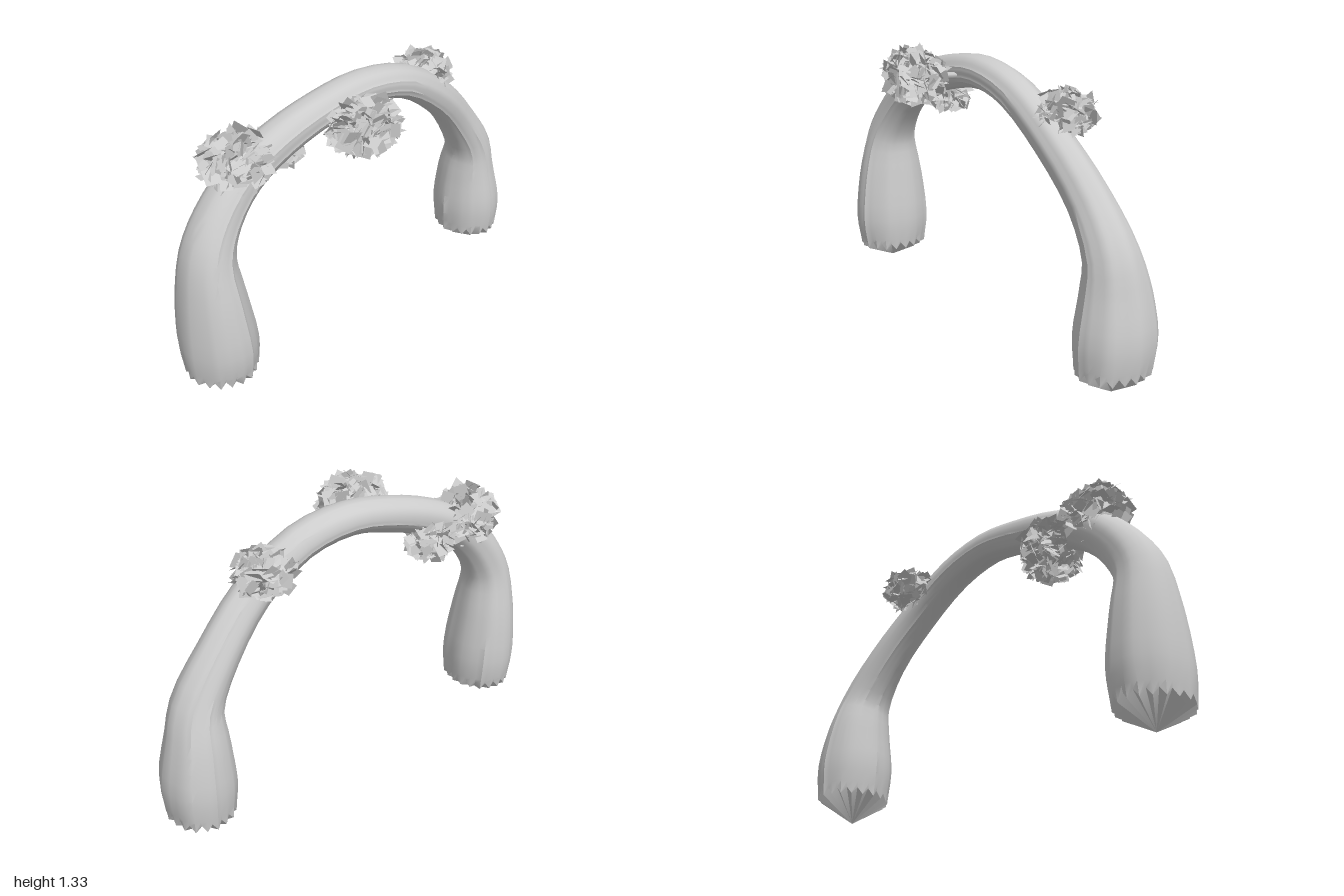
import * as THREE from 'three';
import { mergeGeometries, toCreasedNormals } from 'three/addons/utils/BufferGeometryUtils.js';

// Small seeded generator
function makeRandom(seed) {
  return () => {
    seed = (seed * 1664525 + 1013904223) % 4294967296;
    return seed / 4294967296;
  };
}

// Trunk stations: x, y, z, half width across x, half depth in the arch plane
const STATIONS = [
  [-0.01, 0.16, 0.83, 0.172, 0.155],
  [-0.01, 0.32, 0.83, 0.192, 0.165],
  [-0.015, 0.55, 0.835, 0.168, 0.142],
  [-0.02, 0.75, 0.825, 0.126, 0.112],
  [-0.03, 0.89, 0.755, 0.105, 0.1],
  [-0.04, 1.03, 0.62, 0.092, 0.092],
  [-0.045, 1.13, 0.43, 0.088, 0.086],
  [-0.05, 1.195, 0.2, 0.085, 0.08],
  [-0.055, 1.222, -0.02, 0.085, 0.074],
  [-0.06, 1.17, -0.26, 0.085, 0.076],
  [-0.08, 1.01, -0.5, 0.085, 0.082],
  [-0.12, 0.805, -0.69, 0.095, 0.09],
  [-0.14, 0.61, -0.81, 0.12, 0.108],
  [-0.155, 0.45, -0.83, 0.155, 0.135],
  [-0.155, 0.27, -0.84, 0.182, 0.16],
  [-0.155, 0.11, -0.84, 0.172, 0.147],
];
const TIPS = [[-0.01, 0.07, 0.83], [-0.155, 0, -0.84]];

// Softly ridged tube swept along the arch, closed by a scalloped cone at each foot
function trunkGeometry() {
  const sides = 40, steps = 45, rand = makeRandom(7);
  const path = new THREE.CatmullRomCurve3(STATIONS.map(s => new THREE.Vector3(s[0], s[1], s[2])));
  const size = new THREE.CatmullRomCurve3(STATIONS.map((s, i) => new THREE.Vector3(s[3], s[4], i * 0.1)));
  const groove = Array.from({ length: sides }, (_, j) => (j % 2 ? -0.03 : 0.012) * (0.3 + rand()));
  const positions = [], index = [];
  const xAxis = new THREE.Vector3(1, 0, 0);

  const addTip = tip => { for (let j = 0; j < sides; j++) positions.push(...tip); };
  addTip(TIPS[0]);
  for (let i = 0; i <= steps; i++) {
    const t = i / steps, c = path.getPoint(t), r = size.getPoint(t);
    const tangent = path.getTangent(t);
    const side = xAxis.clone().addScaledVector(tangent, -tangent.x).normalize();
    const up = new THREE.Vector3().crossVectors(tangent, side);
    const rim = i === 0 || i === steps;
    for (let j = 0; j < sides; j++) {
      const a = j / sides * Math.PI * 2;
      const k = 1 + groove[j] + 0.018 * Math.sin(3 * a + t * 9) + 0.014 * Math.sin(8 * a - t * 5);
      const p = c.clone().addScaledVector(side, Math.cos(a) * r.x * k).addScaledVector(up, Math.sin(a) * r.y * k);
      // Grooves rise and ridges drop around the rim of a foot
      if (rim) p.y += j % 2 ? 0.028 : -0.004;
      positions.push(p.x, p.y, p.z);
    }
  }
  addTip(TIPS[1]);

  const rings = steps + 3;
  for (let i = 0; i < rings - 1; i++) {
    for (let j = 0; j < sides; j++) {
      const n = (j + 1) % sides;
      const a = i * sides + j, b = i * sides + n, c = b + sides, d = a + sides;
      if (i > 0) index.push(a, b, c);
      if (i < rings - 2) index.push(a, c, d);
    }
  }
  const geometry = new THREE.BufferGeometry();
  geometry.setAttribute('position', new THREE.Float32BufferAttribute(positions, 3));
  geometry.setIndex(index);
  return toCreasedNormals(geometry, 0.75);
}

// Ball of randomly turned square leaves
function foliageGeometry(radii, count, seed) {
  const rand = makeRandom(seed), leaves = [];
  for (let i = 0; i < count; i++) {
    const h = rand() * 2 - 1, a = rand() * Math.PI * 2, s = Math.sqrt(1 - h * h);
    const reach = 0.35 + 0.65 * Math.sqrt(rand());
    const w = 0.045 + rand() * 0.022;
    const leaf = new THREE.PlaneGeometry(w, w);
    leaf.rotateX(rand() * 6.28).rotateY(rand() * 6.28).rotateZ(rand() * 6.28);
    leaf.translate(s * Math.cos(a) * reach * radii[0], h * reach * radii[1], s * Math.sin(a) * reach * radii[2]);
    leaves.push(leaf);
  }
  return mergeGeometries(leaves);
}

export function createModel() {
  const model = new THREE.Group();
  model.name = 'archedTrunk';
  const bark = new THREE.MeshStandardMaterial({ color: 0xcccccc });
  const leafMaterial = new THREE.MeshStandardMaterial({ color: 0xcccccc, side: THREE.DoubleSide });

  const add = (name, geometry, material) => {
    const mesh = new THREE.Mesh(geometry, material);
    mesh.name = name;
    model.add(mesh);
    return mesh;
  };

  add('trunk', trunkGeometry(), bark);

  // Twig carrying the cluster that hangs off the side
  const twig = new THREE.CatmullRomCurve3([
    new THREE.Vector3(-0.03, 1.2, 0.08),
    new THREE.Vector3(0.06, 1.2, 0.11),
    new THREE.Vector3(0.17, 1.2, 0.17),
  ]);
  add('twig', new THREE.TubeGeometry(twig, 6, 0.015, 6), bark);

  // Leaf clusters: name, centre, radii, leaf count
  const clusters = [
    ['frontFoliage', [-0.055, 1.105, 0.635], [0.14, 0.125, 0.145], 330],
    ['sideFoliage', [0.19, 1.2, 0.17], [0.13, 0.105, 0.155], 300],
    ['lowerFoliage', [-0.12, 1.05, 0.39], [0.09, 0.08, 0.11], 170],
    ['backFoliage', [-0.15, 1.125, -0.475], [0.13, 0.09, 0.12], 240],
  ];
  clusters.forEach(([name, centre, radii, count], i) => {
    add(name, foliageGeometry(radii, count, 31 + i * 17), leafMaterial).position.set(...centre);
  });
  return model;
}
